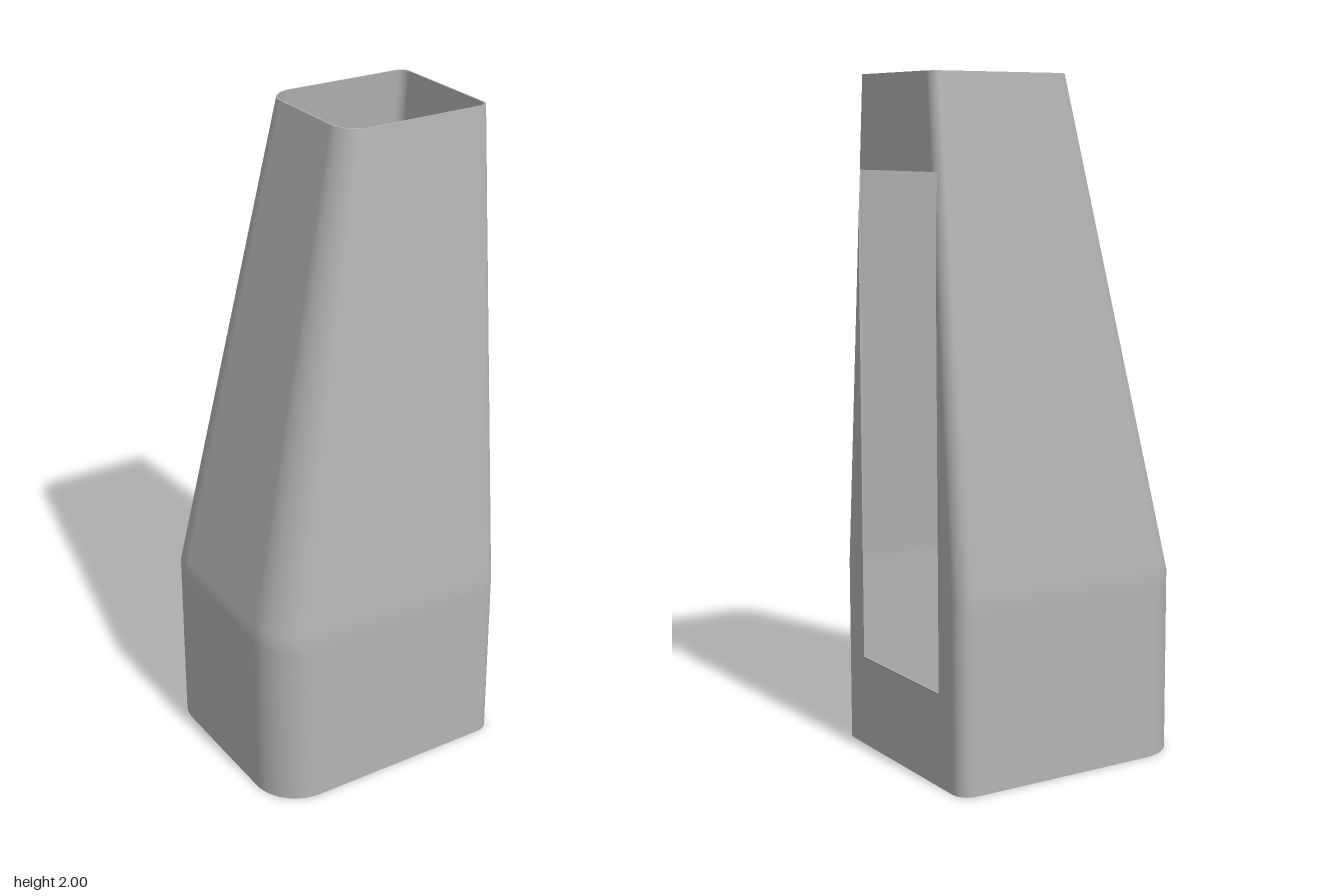
import * as THREE from 'three';

const RIGHT = 0.39, WALL = 0.005;           // flat upright side and sheet thickness
const WIN = { z: 0.22, y0: 0.275, y1: 1.73 };  // window opening
const LEVELS = [0, 0.275, 0.52, 0.55, 0.58, 1, 1.3, 1.47, 1.55, 1.64, 1.73, 1.87, 2];
const lerp = THREE.MathUtils.lerp;

// Size of the rounded cross-section at height y, inset by d
function dims(y, d) {
  const t = Math.max(0, (y - 0.55) / 1.45);
  const h = lerp(0.343, 0.208, t) - d;
  const r = Math.max(0.008, lerp(0.05, 0.03, t) - d);
  const R = lerp(0.14, 0.08, t) - d;
  return { h, r, R, left: lerp(-0.39, -0.078, t) + d, right: RIGHT - d, flat: h - r };
}

// Angle on the right-hand corner where the window edge cuts it
function cutAngle(y, d) {
  const { r, flat } = dims(Math.min(y, WIN.y1), d);
  return Math.asin(THREE.MathUtils.clamp((WIN.z - flat) / r, 0, 1));
}

function cornerPoint(y, d, a) {
  const { r, right, flat } = dims(y, d);
  return new THREE.Vector3(right - r + r * Math.cos(a), y, flat + r * Math.sin(a));
}

const mirrorZ = p => new THREE.Vector3(p.x, p.y, -p.z);

// C-shaped section running from one window edge round to the other
function section(y, d) {
  const { h, R, left, flat } = dims(y, d), a0 = cutAngle(y, d), half = [];
  const edge = cornerPoint(y, d, a0);
  if (a0 === 0) edge.z = Math.min(WIN.z, flat);
  half.push(edge);
  for (let i = 0; i <= 8; i++) half.push(cornerPoint(y, d, lerp(a0, Math.PI / 2, i / 8)));
  for (let i = 0; i <= 12; i++) {
    const a = Math.PI / 2 * (1 + i / 12);
    half.push(new THREE.Vector3(left + R + R * Math.cos(a), y, h - R + R * Math.sin(a)));
  }
  return [...half, ...half.slice().reverse().map(mirrorZ)];
}

// Section across the window side, from -z to +z
function strip(y, d) {
  const a0 = cutAngle(y, d);
  if (a0 === 0) return [-WIN.z, WIN.z].map(z => new THREE.Vector3(RIGHT - d, y, z));
  const half = [0, 1, 2, 3, 4].map(i => cornerPoint(y, d, a0 * i / 4));
  return [...half.slice().reverse().map(mirrorZ), ...half];
}

// Skin between rows of points
function skin(rows, flip = false) {
  const n = rows[0].length, pos = [], idx = [];
  rows.forEach(row => row.forEach(p => pos.push(p.x, p.y, p.z)));
  for (let j = 0; j < rows.length - 1; j++) {
    for (let i = 0; i < n - 1; i++) {
      const a = j * n + i, b = a + n, c = b + 1, e = a + 1;
      if (flip) idx.push(a, c, b, a, e, c);
      else idx.push(a, b, c, a, c, e);
    }
  }
  const g = new THREE.BufferGeometry();
  g.setAttribute('position', new THREE.Float32BufferAttribute(pos, 3));
  g.setIndex(idx);
  g.computeVertexNormals();
  return g;
}

export function createModel() {
  const model = new THREE.Group();
  model.name = 'taperedHousing';
  const grey = new THREE.MeshStandardMaterial({ color: 0xb4b4b4, side: THREE.DoubleSide });
  grey.name = 'plain grey';
  const add = (name, geometry) => {
    const m = new THREE.Mesh(geometry, grey);
    m.name = name;
    model.add(m);
  };

  // Outer and inner skins of the sheet wall
  for (const [side, d] of [['outer', 0], ['inner', WALL]]) {
    const flip = d > 0;
    add(side + 'Shell', skin(LEVELS.map(y => section(y, d)), flip));
    add(side + 'PanelBelowWindow', skin([0, WIN.y0].map(y => strip(y, d)), flip));
    add(side + 'PanelAboveWindow', skin([WIN.y1, 1.87, 2].map(y => strip(y, d)), flip));
  }

  // Top rim
  add('topRim', skin([section(2, 0), section(2, WALL)]));
  add('topRimWindowSide', skin([strip(2, 0), strip(2, WALL)]));

  // Cut edges of the window
  add('windowSill', skin([strip(WIN.y0, 0), strip(WIN.y0, WALL)]));
  add('windowHead', skin([strip(WIN.y1, WALL), strip(WIN.y1, 0)]));
  const jambLevels = LEVELS.filter(y => y >= WIN.y0 && y <= WIN.y1);
  const jamb = d => jambLevels.map(y => section(y, d)[0]);
  add('leftJamb', skin([jamb(0), jamb(WALL)]));
  add('rightJamb', skin([jamb(WALL).map(mirrorZ), jamb(0).map(mirrorZ)]));

  // Inward lip round the open base
  const outline = d => section(0, d).map(p => new THREE.Vector2(p.x, p.z));
  const lip = new THREE.Shape(outline(0.001));
  lip.holes.push(new THREE.Path(outline(0.052)));
  const lipGeometry = new THREE.ExtrudeGeometry(lip, { depth: 0.006, bevelEnabled: false });
  lipGeometry.rotateX(-Math.PI / 2);
  add('baseLip', lipGeometry);

  return model;
}
